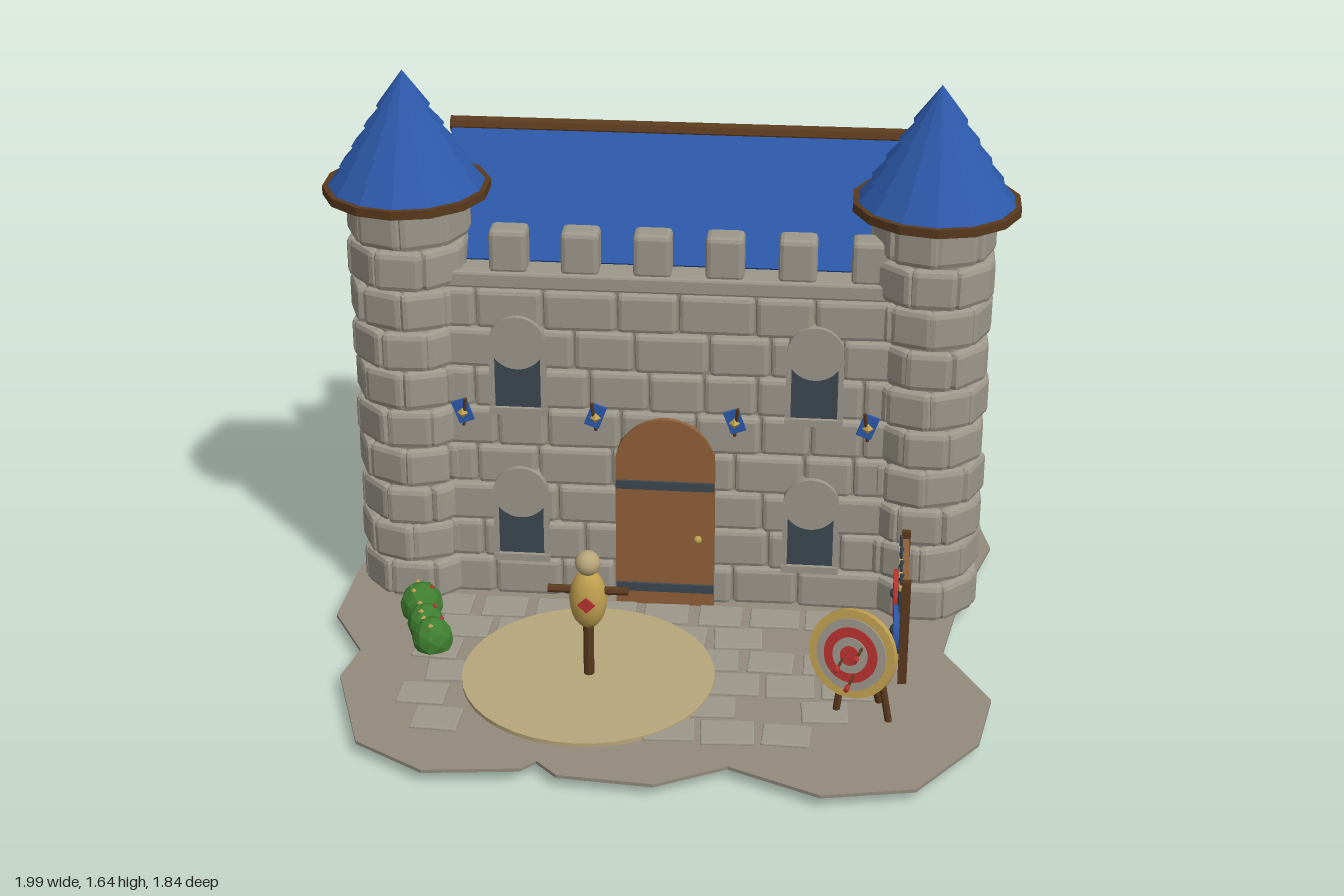
import * as THREE from 'three';
import { mergeGeometries } from 'three/addons/utils/BufferGeometryUtils.js';
import { RoundedBoxGeometry } from 'three/addons/geometries/RoundedBoxGeometry.js';

const paint = (name, color) => Object.assign(new THREE.MeshStandardMaterial({ color }), { name });
const M = {
  stone: paint('stone', 0x9d978b), ground: paint('ground', 0x928b7d), sand: paint('sand', 0xb8a67a),
  straw: paint('straw', 0xc0a050), blue: paint('blue', 0x2c58a8), wood: paint('wood', 0x8f6038),
  darkWood: paint('darkWood', 0x5a3a1e), red: paint('red', 0xb8322f), green: paint('green', 0x3f7f30),
  iron: paint('iron', 0x3c4850),
};

let seed = 7;
const rand = (a, b) => {
  seed = (seed * 16807) % 2147483647;
  return a + (b - a) * (seed / 2147483647);
};
// faceted normals
const flat = g => {
  const f = g.index ? g.toNonIndexed() : g;
  f.computeVertexNormals();
  return f;
};

export function createModel() {
  const root = new THREE.Group();
  root.name = 'castle';
  const CX = 0.01, BASE = 0.04, ROW = 0.124, TOWER_X = 0.746, TOWER_Z = -0.145;

  const add = (name, geo, mat, x = 0, y = 0, z = 0, parent = root) => {
    const m = new THREE.Mesh(geo, mat);
    m.name = name;
    m.position.set(x, y, z);
    parent.add(m);
    return m;
  };
  const box = (name, mat, w, h, d, x, y, z, parent) => add(name, new THREE.BoxGeometry(w, h, d), mat, x, y, z, parent);
  const rod = (name, mat, a, b, r, parent) => {
    const p = new THREE.Vector3(...a), q = new THREE.Vector3(...b);
    const m = add(name, flat(new THREE.CylinderGeometry(r, r, p.distanceTo(q), 8)), mat, 0, 0, 0, parent);
    m.position.copy(p).add(q).multiplyScalar(0.5);
    m.quaternion.setFromUnitVectors(new THREE.Vector3(0, 1, 0), q.sub(p).normalize());
    return m;
  };
  const group = (name, x, y, z, ry = 0, parent = root) => {
    const g = new THREE.Group();
    g.name = name;
    g.position.set(x, y, z);
    g.rotation.y = ry;
    parent.add(g);
    return g;
  };
  const block = (w, h, d, r = 0.014) => flat(new RoundedBoxGeometry(w, h, d, 1, r));

  // ground slab with a wavy outline, given as x, z pairs
  const edge = [[-0.65, -0.92], [-0.37, -0.89], [-0.27, -0.81], [-0.16, -0.87], [0.09, -0.9], [0.25, -0.82], [0.47, -0.9],
    [0.73, -0.87], [0.93, -0.71], [0.985, -0.45], [0.88, -0.1], [0.83, 0.18], [0.96, 0.42], [0.92, 0.64], [0.75, 0.87],
    [0.5, 0.92], [0.25, 0.81], [0.06, 0.91], [-0.2, 0.89], [-0.26, 0.83], [-0.3, 0.87], [-0.56, 0.9], [-0.76, 0.78],
    [-0.87, 0.46], [-0.84, 0.32], [-0.95, 0.13], [-0.94, -0.1], [-0.92, -0.28], [-1, -0.52], [-0.89, -0.78]];
  const outline = new THREE.Shape(edge.map(([x, z]) => new THREE.Vector2(x, -z)));
  add('ground', new THREE.ExtrudeGeometry(outline, { depth: 0.01, bevelEnabled: false }).rotateX(-Math.PI / 2), M.ground, 0, 0.03, 0);
  add('sandCircle', new THREE.CylinderGeometry(0.357, 0.357, 0.014, 40), M.sand, -0.17, 0.045, 0.4);

  // paving slabs in loose rows
  const slabs = [];
  for (let r = 0; r < 6; r++) {
    for (let x = -0.62 + (r % 2) * 0.06; x < 0.64; x += 0.16) {
      const z = 0.045 + r * 0.122, d = Math.hypot(x + 0.17, z - 0.4);
      if (d < 0.3 || (r > 1 && x < 0 && x > -0.55) || (x > -0.1 && rand(0, 1) < 0.15)) continue;
      slabs.push(block(rand(0.125, 0.15), 0.012, rand(0.1, 0.115), 0.004).rotateY(rand(-0.07, 0.07)).translate(x, 0.042, z));
    }
  }
  add('pavingSlabs', mergeGeometries(slabs), M.stone);

  // keep core and stone walls
  box('wallCore', M.ground, 1.42, 1.01, 0.71, CX, 0.535, -0.415);
  const wall = (name, length, x, z, ry) => {
    const stones = [];
    for (let r = 0; r < 8; r++) {
      let at = -length / 2, first = true;
      while (at < length / 2 - 0.001) {
        let w = first && r % 2 ? rand(0.09, 0.12) : rand(0.14, 0.22);
        if (length / 2 - at - w < 0.08) w = length / 2 - at;
        stones.push(block(w - 0.005, ROW - 0.005, 0.08).rotateZ(rand(-0.015, 0.015))
          .translate(at + w / 2, BASE + (r + 0.5) * ROW, -0.04 + rand(0, 0.008)));
        at += w;
        first = false;
      }
    }
    add(name, mergeGeometries(stones), M.stone, x, 0, z).rotation.y = ry;
  };
  wall('frontWall', 1.3, CX, -0.035, 0);
  wall('backWall', 1.48, CX, -0.805, Math.PI);
  wall('leftWall', 0.66, CX + 0.742, -0.475, Math.PI / 2);
  wall('rightWall', 0.66, CX - 0.742, -0.475, -Math.PI / 2);

  // parapet ledge and merlons
  add('parapetLedge', block(1.5, 0.05, 0.77, 0.008), M.stone, CX, 1.055, -0.425);
  for (let i = 0; i < 7; i++) {
    const x = -0.645 + i * 0.2045;
    add('backMerlon', block(0.108, 0.13, 0.085), M.stone, x, 1.137, -0.765);
    if (i) add('frontMerlon', block(0.108, 0.13, 0.085), M.stone, x, 1.137, -0.092);
  }

  // gabled roof in overlapping strips
  const gable = new THREE.Shape([new THREE.Vector2(0.13, 1.075), new THREE.Vector2(0.71, 1.075), new THREE.Vector2(0.42, 1.37)]);
  add('gable', new THREE.ExtrudeGeometry(gable, { depth: 1.28, bevelEnabled: false }).rotateY(Math.PI / 2), M.stone, -0.627, 0, 0);
  for (const s of [1, -1]) {
    const slope = group('roofSlope', CX, 1.38, -0.42, s > 0 ? 0 : Math.PI);
    const tilt = group('roofTilt', 0, 0, 0, 0, slope);
    tilt.rotation.x = Math.PI / 4 + 0.015;
    for (let i = 0; i < 3; i++) {
      box('roofStrip', M.blue, 1.315, 0.016, 0.15, 0, 0.004 - i * 0.002, 0.07 + i * 0.135, tilt).rotation.x = 0.03;
    }
  }
  rod('ridgeBeam', M.darkWood, [-0.653, 1.385, -0.425], [0.673, 1.385, -0.425], 0.025);

  // round towers with tiered cone roofs
  for (const s of [-1, 1]) {
    const tower = group(s > 0 ? 'leftTower' : 'rightTower', CX + s * TOWER_X, 0, TOWER_Z);
    add('towerCore', new THREE.CylinderGeometry(0.15, 0.15, 1.255, 16), M.ground, 0, 0.655, 0, tower);
    const stones = [];
    for (let r = 0; r < 10; r++) {
      for (let i = 0; i < 8; i++) {
        stones.push(block(rand(0.128, 0.138), ROW - 0.005, 0.07, 0.018).rotateZ(rand(-0.02, 0.02))
          .translate(0, BASE + (r + 0.5) * ROW, 0.128 + rand(0, 0.01)).rotateY((i + (r % 2) / 2) * Math.PI / 4 + rand(-0.05, 0.05)));
      }
    }
    add('towerStones', mergeGeometries(stones), M.stone, 0, 0, 0, tower);
    add('roofRim', flat(new THREE.CylinderGeometry(0.238, 0.238, 0.025, 14)), M.darkWood, 0, 1.293, 0, tower);
    const radius = y => 0.215 * (1.637 - y) / 0.335;
    for (let i = 0; i < 5; i++) {
      const y = 1.303 + i * 0.058, top = i === 4 ? 1.637 : y + 0.062;
      add('roofTier', flat(new THREE.CylinderGeometry(i === 4 ? 0 : radius(top) - 0.004, radius(y) + 0.01, top - y, 14)),
        M.blue, 0, (y + top) / 2, 0, tower);
    }
  }

  // arched windows
  for (const x of [-0.425, 0.425]) {
    for (const y of [0.65, 0.17]) {
      const win = group('window', CX + x, y, 0);
      box('glass', M.iron, 0.135, 0.22, 0.04, 0, 0.115, -0.042, win);
      add('archStone', new THREE.CylinderGeometry(0.081, 0.081, 0.04, 32).rotateX(Math.PI / 2), M.stone, 0, 0.225, -0.034, win);
      box('sill', M.stone, 0.166, 0.022, 0.045, 0, 0.011, -0.032, win);
      for (const s of [-1, 1]) box('jamb', M.stone, 0.015, 0.21, 0.04, s * 0.074, 0.12, -0.034, win);
    }
  }

  // arched door with iron bands and knob
  const door = group('door', CX, 0, 0);
  const arch = new THREE.Shape();
  arch.moveTo(-0.145, 0.03);
  arch.lineTo(0.145, 0.03);
  arch.lineTo(0.145, 0.505);
  arch.absarc(0, 0.505, 0.145, 0, Math.PI);
  add('doorPanel', new THREE.ExtrudeGeometry(arch, { depth: 0.045, bevelEnabled: false, curveSegments: 16 }), M.wood, 0, 0, -0.06, door);
  for (const y of [0.1, 0.44]) box('doorBand', M.iron, 0.288, 0.026, 0.009, 0, y, -0.011, door);
  add('doorKnob', new THREE.SphereGeometry(0.012, 12, 8), M.straw, 0.097, 0.268, -0.008, door);

  // small pennants on the front wall
  [-0.575, -0.19, 0.21, 0.59].forEach((x, i) => {
    const s = i % 2 ? -1 : 1, p = group('pennant', x, 0.66, -0.015);
    rod('pennantPole', M.darkWood, [0, -0.05, 0], [s * 0.01, 0.045, 0.02], 0.005, p);
    box('pennantCloth', M.blue, 0.045, 0.07, 0.009, 0, 0, 0.008, p).rotation.z = s * 0.35;
    add('pennantBadge', flat(new THREE.OctahedronGeometry(0.017)), M.straw, 0, -0.005, 0.012, p);
  });

  // training dummy
  const dummy = group('trainingDummy', -0.168, 0, 0.4);
  rod('post', M.darkWood, [0, 0.028, 0], [0, 0.38, 0], 0.015, dummy);
  rod('crossbar', M.darkWood, [-0.112, 0.322, 0], [0.112, 0.322, 0], 0.012, dummy);
  add('body', new THREE.SphereGeometry(1, 16, 12), M.straw, 0, 0.295, 0, dummy).scale.set(0.053, 0.092, 0.045);
  add('head', new THREE.SphereGeometry(0.036, 16, 12), M.sand, 0, 0.407, 0, dummy);
  box('chestMark', M.red, 0.034, 0.034, 0.008, 0, 0.297, 0.044, dummy).rotation.z = Math.PI / 4;

  // archery target on a tripod
  const target = group('target', 0.575, 0, 0.565, -0.37);
  const disc = group('targetFace', 0, 0.262, 0, 0, target);
  disc.rotation.x = -0.22;
  [[0.124, M.straw, 0.04], [0.1, M.stone, 0.046], [0.077, M.red, 0.05], [0.05, M.stone, 0.054], [0.027, M.red, 0.058]].forEach(([r, mat, t]) =>
    add('ring', new THREE.CylinderGeometry(r, r, t - 0.02, 28).rotateX(Math.PI / 2), mat, 0, 0, t / 2 - 0.01, disc));
  for (const [x, y] of [[0.03, 0.03], [-0.02, -0.01], [0.015, -0.055]]) {
    rod('arrow', M.darkWood, [x, y, 0.02], [x + 0.012, y - 0.015, 0.11], 0.004, disc);
    rod('fletching', M.red, [x + 0.009, y - 0.011, 0.088], [x + 0.012, y - 0.015, 0.11], 0.007, disc);
  }
  for (const [x, z] of [[-0.06, -0.03], [0.09, -0.05], [0.03, -0.13]]) {
    rod('leg', M.darkWood, [x * 0.5, 0.3, -0.035], [x, 0.03, z], 0.01, target);
  }

  // weapon rack with shields and swords
  const rack = group('weaponRack', 0.712, 0, 0);
  for (const z of [0.065, 0.352]) box('rackPost', M.darkWood, 0.025, 0.34, 0.018, 0, 0.197, z, rack);
  for (const y of [0.115, 0.337]) box('rackRail', M.wood, 0.018, 0.018, 0.3, 0, y, 0.208, rack);
  for (const [z, mat] of [[0.285, M.blue], [0.085, M.red]]) {
    add('shield', new THREE.CylinderGeometry(0.07, 0.07, 0.016, 20).rotateZ(Math.PI / 2), mat, -0.022, 0.172, z, rack);
    add('shieldBoss', new THREE.SphereGeometry(0.018, 12, 8), M.iron, -0.022, 0.172, z, rack);
  }
  for (const z of [0.3, 0.225, 0.15, 0.08]) {
    rod('blade', M.iron, [-0.012, 0.11, z + 0.012], [-0.012, 0.355, z - 0.008], 0.006, rack);
    box('swordGuard', M.straw, 0.016, 0.01, 0.04, -0.012, 0.318, z - 0.005, rack);
  }

  // flowering bushes, and moss tufts at the foot of the walls
  for (const [x, z, r] of [[-0.7, 0.1, 0.064], [-0.67, 0.2, 0.054], [-0.635, 0.285, 0.06]]) {
    const bush = group('bush', x, 0.07, z, x * 9);
    add('leaves', flat(new THREE.IcosahedronGeometry(r, 1)), M.green, 0, 0, 0, bush).scale.y = 1.12;
    for (let i = 0; i < 3; i++) {
      add('flower', flat(new THREE.OctahedronGeometry(0.009)), i ? M.straw : M.red,
        Math.cos(i * 2.1) * r * 0.5, r * 0.95, Math.sin(i * 2.1) * r * 0.5, bush);
    }
  }
  for (const [x, z] of [[-0.66, -0.72], [0.66, -0.7], [0.64, -0.5], [0.67, -0.42], [0.66, -0.22], [-0.7, -0.05], [-0.32, -0.1], [0.15, -0.1], [0.57, -0.1]]) {
    add('mossTuft', flat(new THREE.IcosahedronGeometry(0.03, 0)), M.green, x, 0.036, z);
  }
  return root;
}
